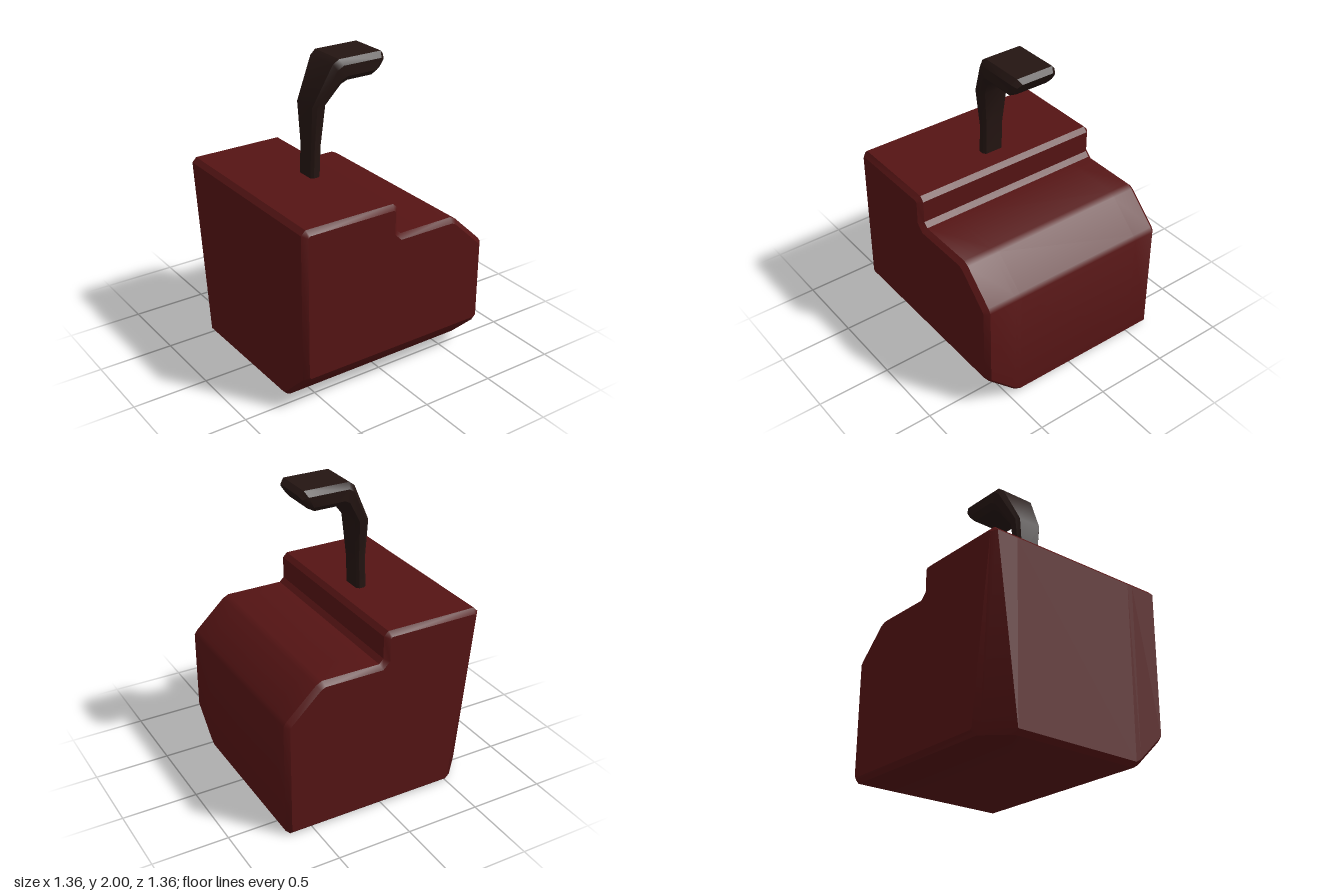
import * as THREE from 'three';
import { toCreasedNormals } from 'three/addons/utils/BufferGeometryUtils.js';

// Closed loft through rings of equal length; caps are triangulated from 2D outlines
function loft(rings, startOutline, endOutline, crease) {
  const n = rings[0].length, index = [];
  for (let i = 0; i < rings.length - 1; i++) {
    for (let j = 0; j < n; j++) {
      const a = i * n + j, b = i * n + (j + 1) % n;
      index.push(a, b, b + n, a, b + n, a + n);
    }
  }
  const last = (rings.length - 1) * n;
  for (const [a, b, c] of THREE.ShapeUtils.triangulateShape(startOutline, [])) index.push(a, c, b);
  for (const [a, b, c] of THREE.ShapeUtils.triangulateShape(endOutline, [])) index.push(last + a, last + b, last + c);
  const geo = new THREE.BufferGeometry().setFromPoints(rings.flat());
  geo.setIndex(index);
  return toCreasedNormals(geo, crease);
}

// Offset a counter-clockwise outline inwards by d
function inset(points, d) {
  const n = points.length;
  const normal = (p, q) => new THREE.Vector2(p.y - q.y, q.x - p.x).normalize();
  return points.map((p, i) => {
    const n1 = normal(points[(i + n - 1) % n], p), n2 = normal(p, points[(i + 1) % n]);
    const m = n1.clone().add(n2);
    return p.clone().addScaledVector(m, d / (1 + n1.dot(n2)));
  });
}

// Stepped block: the side-to-side profile swept from back to front
function bodyGeometry() {
  const profile = [
    [-0.65, 0], [0.65, 0], [0.68, 0.03], [0.68, 0.79], [0.66, 0.82], [0.46, 1.01], [0.42, 1.03],
    [0.03, 1.03], [0, 1.06], [0, 1.21], [-0.03, 1.24], [-0.65, 1.24], [-0.68, 1.21], [-0.68, 0.03],
  ].map(([x, y]) => new THREE.Vector2(x, y));
  const low = new Set([0, 1, 2, 13]), corner = new Set([0, 13]);
  // z, inset, lift of the bottom edge, cut of the back bottom corner
  const stations = [
    [-0.68, 0.03, 0, 0.15], [-0.65, 0, 0, 0.14], [-0.5, 0, 0, 0],
    [0.42, 0, 0.005, 0], [0.46, 0, 0.03, 0], [0.65, 0, 0.215, 0], [0.68, 0.03, 0.225, 0],
  ];
  const rings = stations.map(([z, d, lift, cut]) => inset(profile, d).map((p, i) =>
    new THREE.Vector3(p.x + (corner.has(i) ? cut : 0), p.y + (low.has(i) ? lift : 0), z)));
  const flat = ring => ring.map(p => new THREE.Vector2(p.x, p.y));
  return loft(rings, flat(rings[0]), flat(rings[rings.length - 1]), 0.6);
}

// Bent lever: bevelled sections between an outer and an inner edge line
function leverGeometry() {
  const octagon = [
    [0, -0.8], [0.25, -1], [0.75, -1], [1, -0.8], [1, 0.8], [0.75, 1], [0.25, 1], [0, 0.8],
  ].map(([t, v]) => new THREE.Vector2(t, v));
  // outer x, y, inner x, y, half width
  const sections = [
    [-0.23, 1.2, -0.16, 1.2, 0.075], [-0.22, 1.44, -0.15, 1.44, 0.075],
    [-0.225, 1.71, -0.13, 1.71, 0.105], [-0.1, 1.97, -0.04, 1.84, 0.152],
    [-0.06, 2, 0, 1.86, 0.162], [0.25, 2, 0.18, 1.86, 0.162], [0.28, 1.97, 0.22, 1.88, 0.14],
  ];
  const rings = sections.map(([ox, oy, ix, iy, w]) => octagon.map(p =>
    new THREE.Vector3(ox + (ix - ox) * p.x, oy + (iy - oy) * p.x, -p.y * w)));
  return loft(rings, octagon, octagon, 0.6);
}

export function createModel() {
  const group = new THREE.Group();
  const add = (name, geometry, color) => {
    const mesh = new THREE.Mesh(geometry, new THREE.MeshStandardMaterial({ color }));
    mesh.name = name;
    group.add(mesh);
  };
  add('body', bodyGeometry(), 0x551414);
  add('lever', leverGeometry(), 0x241512);
  return group;
}
